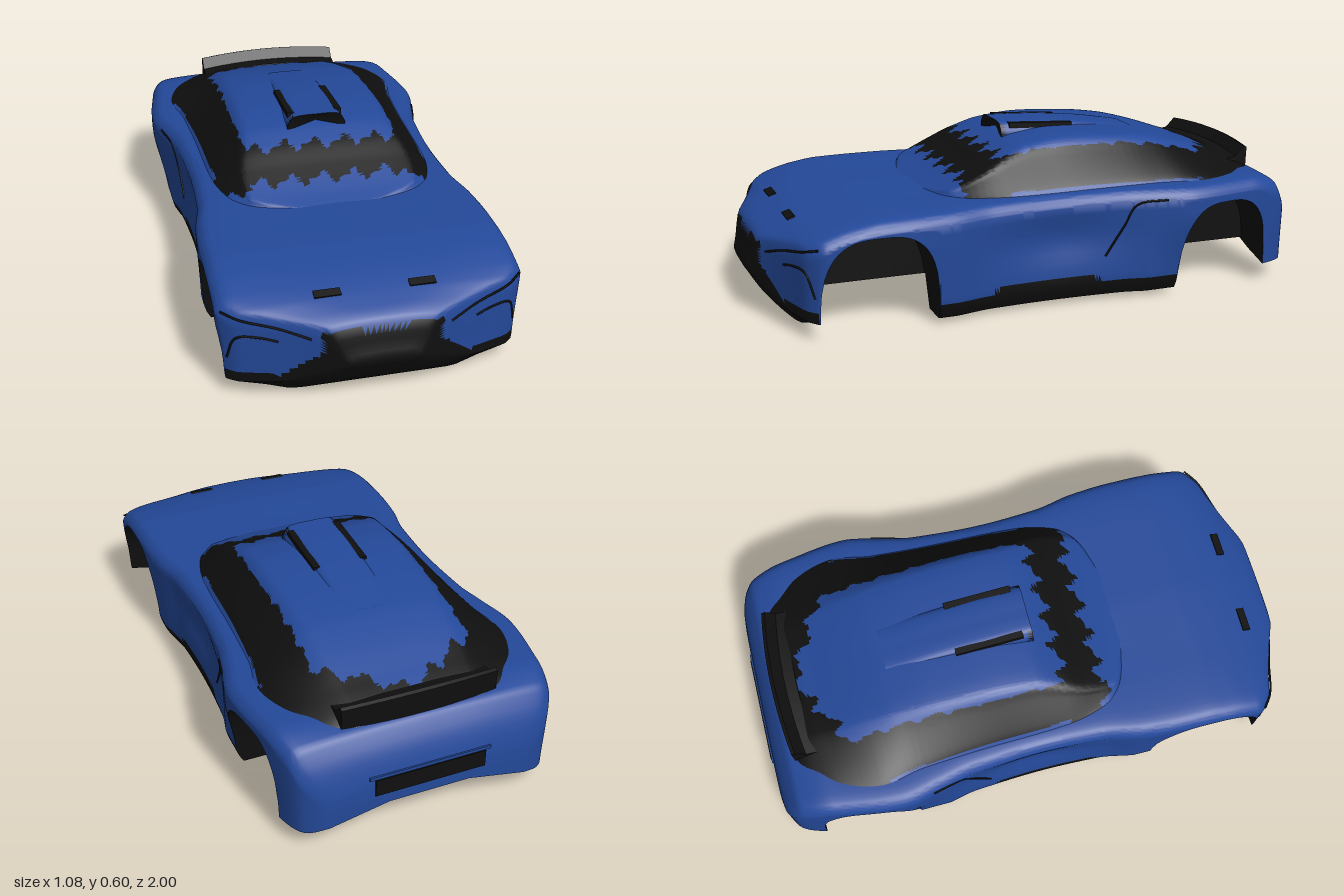
import * as THREE from 'three';
import { toCreasedNormals } from 'three/addons/utils/BufferGeometryUtils.js';

const blue = new THREE.MeshStandardMaterial({ color: 0x24499a, side: THREE.DoubleSide });
const dark = new THREE.MeshStandardMaterial({ color: 0x0f0f0f, side: THREE.DoubleSide });
const { smoothstep } = THREE.MathUtils;

// Monotone smooth curve through [t, value] pairs
function curve(p) {
  const n = p.length;
  const d = p.slice(1).map((q, i) => (q[1] - p[i][1]) / (q[0] - p[i][0]));
  const m = p.map((_, i) => {
    if (i === 0) return d[0];
    if (i === n - 1) return d[n - 2];
    return d[i - 1] * d[i] <= 0 ? 0 : (2 * d[i - 1] * d[i]) / (d[i - 1] + d[i]);
  });
  return (t) => {
    if (t <= p[0][0]) return p[0][1];
    if (t >= p[n - 1][0]) return p[n - 1][1];
    let i = 0;
    while (t > p[i + 1][0]) i++;
    const h = p[i + 1][0] - p[i][0], u = (t - p[i][0]) / h, u2 = u * u, u3 = u2 * u;
    return (2 * u3 - 3 * u2 + 1) * p[i][1] + (u3 - 2 * u2 + u) * h * m[i]
      + (3 * u2 - 2 * u3) * p[i + 1][1] + (u3 - u2) * h * m[i + 1];
  };
}

// Skin rows of points; isDark(centre, column) sends each triangle to one of two painted meshes
function loft(name, rows, isDark) {
  const cols = rows[0].length, pts = rows.flat(), idx = [], tag = [];
  for (let i = 0; i < rows.length - 1; i++) for (let j = 0; j < cols - 1; j++) {
    const a = i * cols + j, b = a + 1, e = a + cols, f = e + 1;
    for (const tri of [[a, b, f], [a, f, e]]) {
      const c = new THREE.Vector3();
      tri.forEach((k) => c.addScaledVector(pts[k], 1 / 3));
      idx.push(...tri);
      tag.push(isDark(c, Math.min(j, cols - 2 - j)));
    }
  }
  let g = new THREE.BufferGeometry().setFromPoints(pts);
  g.setIndex(idx);
  g = toCreasedNormals(g, 0.6);
  const group = new THREE.Group();
  group.name = name;
  for (const t of [false, true]) {
    const out = new THREE.BufferGeometry();
    for (const key of ['position', 'normal']) {
      const src = g.attributes[key].array, arr = [];
      tag.forEach((v, k) => { if (v === t) for (let q = 0; q < 9; q++) arr.push(src[k * 9 + q]); });
      out.setAttribute(key, new THREE.Float32BufferAttribute(arr, 3));
    }
    const mesh = new THREE.Mesh(out, t ? dark : blue);
    mesh.name = name + (t ? 'DarkTrim' : 'Paint');
    group.add(mesh);
  }
  return group;
}

// Mirror a half section (ending on the centre line) into a row at z
const mirrorRow = (half, z) => [...half, ...half.slice(0, -1).reverse().map(([x, y]) => [-x, y])]
  .map(([x, y]) => new THREE.Vector3(x, y, z));
const capRow = (row, y, z) => row.map(() => new THREE.Vector3(0, y, z));
const spline = (pts, n) => new THREE.SplineCurve(pts.map((p) => new THREE.Vector2(...p)))
  .getPoints(n).map((p) => [p.x, p.y]);

// Body rules along z
const width = curve([[-1, 0.34], [-0.985, 0.41], [-0.95, 0.46], [-0.88, 0.49], [-0.78, 0.512], [-0.55, 0.542],
  [-0.4, 0.512], [-0.28, 0.488], [0, 0.476], [0.2, 0.482], [0.36, 0.51], [0.5, 0.52], [0.8, 0.522],
  [0.86, 0.475], [0.89, 0.39], [0.935, 0.27], [0.97, 0.19], [0.985, 0.155], [1, 0.12]]);
const top = curve([[-1, 0.2], [-0.985, 0.275], [-0.97, 0.318], [-0.95, 0.354], [-0.915, 0.396], [-0.8, 0.414],
  [0.1, 0.407], [0.4, 0.402], [0.6, 0.4], [0.7, 0.388], [0.8, 0.367], [0.9, 0.334], [0.96, 0.305], [0.975, 0.283],
  [0.988, 0.225], [1, 0.185]]);
const drop = curve([[-1, 0.02], [-0.8, 0.002], [0.3, 0.002], [0.7, 0.005], [0.9, 0.016], [1, 0.006]]);
const floor = curve([[-1, 0.13], [0.8, 0.14], [0.835, 0], [0.87, 0.012], [0.945, 0.075], [1, 0.155]]);
const base = curve([[-1, 0.09], [-0.97, 0.07], [-0.86, 0.07], [-0.5, 0.02], [0.41, 0.02], [0.83, 0.06],
  [0.9, 0.07], [0.96, 0.12], [1, 0.165]]);
const arches = [[-0.865, -0.5], [0.41, 0.825]];

// Half width of the flank: bevelled under the sill, hollowed along the door
function flank(z, y) {
  const w = width(z), low = Math.min(w * 0.98, 0.498) - 0.025 * (1 - smoothstep(y, 0.01, 0.07));
  const hollow = Math.exp(-(((z + 0.05) / 0.24) ** 2) - (((y - 0.25) / 0.09) ** 2));
  return low + (w - low) * smoothstep(y, 0.05, 0.32) - 0.028 * hollow;
}

function bodySection(z) {
  const w = width(z), t = top(z), s = t - drop(z), f = floor(z);
  const arch = arches.find(([a, b]) => z > a && z < b);
  let b = base(z), inner = [[Math.min(0.37, w * 0.75), f], [Math.min(0.37, w * 0.75), b]];
  const round = Math.min(0.045, (s - b) * 0.4);
  if (arch) {
    const u = Math.abs((2 * z - arch[0] - arch[1]) / (arch[1] - arch[0]));
    b += (0.343 - b) * Math.cbrt(1 - u ** 3);
    inner = [[0.33, f], [0.33, Math.max(b, f)]];
  } else if (z > 0.8 || z < -0.8) {
    inner = [[Math.min(0.3, w * 0.62), f], [Math.min(0.38, w * 0.78), (f + b) / 2]];
  }
  const side = [], n = 12, ys = arch ? Math.max(s - round, b + 0.004) : s - round;
  for (let i = 0; i <= n; i++) {
    const y = b + (ys - b) * i / n;
    side.push([flank(z, y), y]);
  }
  const x = flank(z, ys);
  const deck = spline([[x, ys], [x * 0.975, s - (s - ys) * 0.5], [x * 0.91, s - 0.004], [x * 0.7, s + (t - s) * 0.4],
    [x * 0.4, t - 0.002], [0, t]], 20);
  return [[0, f], ...inner, ...side, ...deck.slice(1)];
}

function makeBody() {
  const zs = [0.835, -0.993, -0.985, 0.985, 0.995];
  for (let i = 1; i < 200; i++) zs.push(-0.995 + i * 0.00998);
  arches.flat().forEach((z) => zs.push(z - 0.0008, z + 0.0008));
  zs.push(-0.995, 1);
  zs.sort((a, b) => a - b);
  const rows = zs.map((z) => mirrorRow(bodySection(z), z));
  rows.unshift(capRow(rows[0], 0.16, -0.995));
  rows.push(capRow(rows[0], 0.172, 1));
  return loft('body', rows, (c, k) => {
    const x = Math.abs(c.x);
    if (k < 3 && c.z > -0.99) return true;
    if (c.z > 0.83) return c.y < 0.1 || (x < 0.2 + 1.2 * Math.max(0, 0.2 - c.y) && c.y < 0.278);
    if (c.z < -0.5) return false;
    return c.z < 0.42 && c.y < 0.075 + 0.035 * smoothstep(0.24 - Math.abs(c.z), 0, 0.1);
  });
}

// Cabin rules along z
const roof = curve([[-0.91, 0.392], [-0.88, 0.42], [-0.75, 0.47], [-0.6, 0.52], [-0.5, 0.545], [-0.35, 0.565],
  [-0.15, 0.575], [0, 0.56], [0.1, 0.525], [0.2, 0.474], [0.3, 0.427], [0.39, 0.392]]);
const cabinBase = curve([[-0.91, 0.3], [-0.85, 0.39], [-0.75, 0.45], [-0.62, 0.465], [-0.45, 0.43], [-0.2, 0.41],
  [0.1, 0.4], [0.25, 0.375], [0.33, 0.3], [0.39, 0.12]]);
const roofEdge = curve([[-0.91, 0.22], [-0.7, 0.25], [-0.4, 0.265], [0, 0.275], [0.2, 0.31], [0.3, 0.3], [0.39, 0.08]]);

function makeCabin() {
  const rows = [];
  for (let i = 0; i <= 130; i++) {
    const z = -0.91 + 0.01 * i, r = roof(z), b = cabinBase(z), e = roofEdge(z), y0 = 0.385, h = r - y0;
    rows.push(mirrorRow(spline([[b + 0.02, y0], [b - 0.1 * (b - e), y0 + h * 0.24], [e + 0.3 * (b - e), y0 + h * 0.7],
      [e, y0 + h * 0.92], [e * 0.85, y0 + h * 0.98], [e * 0.5, r], [0, r]], 44), z));
  }
  // Glass bands with a ragged painted edge
  const jag = (t) => 0.02 * (Math.sin(t * 55) + 0.6 * Math.sin(t * 111));
  return loft('cabin', rows, (c) => {
    const x = Math.abs(c.x), j = jag(c.x);
    const side = c.z < 0.27 && c.y > 0.418 && c.y < 0.54 && x > 0.285 + 0.3 * jag(c.z);
    const windshield = c.z > 0.11 + j && c.z < 0.25 + j;
    const rear = c.z < -0.84 + 0.55 * x + j;
    return side || windshield || rear;
  });
}

// Roof scoop with an open dark mouth
function makeScoop() {
  const h = curve([[-0.5, 0.548], [-0.3, 0.58], [-0.1, 0.597], [0.04, 0.602]]);
  const rows = [];
  for (let i = 0; i <= 20; i++) {
    const z = -0.5 + 0.027 * i, y = h(z);
    rows.push(mirrorRow(spline([[0.11, 0.545], [0.106, y - 0.032], [0.085, y - 0.006], [0.05, y], [0, y]], 14), z));
  }
  rows.push(capRow(rows[0], 0.57, 0.02));
  return loft('roofScoop', rows, (c) => c.z > 0.0275 && c.y < 0.594);
}

export function createModel() {
  const car = new THREE.Group();
  car.name = 'carBody';
  car.add(makeBody(), makeCabin(), makeScoop());

  const add = (name, geo, x = 0, y = 0, z = 0, rx = 0, mat = dark) => {
    const m = new THREE.Mesh(geo, mat);
    m.name = name;
    m.position.set(x, y, z);
    m.rotation.x = rx;
    car.add(m);
  };

  // Tail spoiler, swept forward toward its ends
  const profile = new THREE.Shape([[-0.79, 0.4], [-0.83, 0.445], [-0.87, 0.452], [-0.905, 0.488], [-0.918, 0.483],
    [-0.915, 0.385]].map((p) => new THREE.Vector2(...p)));
  const wing = new THREE.ExtrudeGeometry(profile, { depth: 0.56, steps: 14, bevelEnabled: false });
  wing.rotateY(-Math.PI / 2).translate(0.28, 0, 0);
  const pos = wing.attributes.position;
  for (let i = 0; i < pos.count; i++) {
    const q = pos.getX(i) ** 2;
    pos.setZ(i, pos.getZ(i) + 0.25 * q);
    pos.setY(i, pos.getY(i) - 0.15 * q);
  }
  wing.computeVertexNormals();
  add('spoiler', wing);

  // Rear plate panel and grille bar
  add('rearPanel', new THREE.BoxGeometry(0.4, 0.065, 0.03), 0, 0.205, -0.985);
  add('rearPanelLip', new THREE.BoxGeometry(0.44, 0.012, 0.03), 0, 0.243, -0.981, 0, blue);
  add('grilleBar', new THREE.BoxGeometry(0.26, 0.01, 0.04), 0, 0.17, 0.972);

  // Paired details; seam points are [z, y] laid on the flank
  const seams = {
    headlampSeam: [[0.91, 0.23], [0.89, 0.24], [0.865, 0.235], [0.84, 0.15]],
    browSeam: [[0.95, 0.25], [0.91, 0.28], [0.87, 0.305], [0.83, 0.32]],
    doorCrease: [[-0.22, 0.17], [-0.29, 0.28], [-0.33, 0.355], [-0.44, 0.37]],
  };
  for (const s of [-1, 1]) {
    add('hoodVent', new THREE.BoxGeometry(0.09, 0.014, 0.03), s * 0.16, top(0.85) - 0.004, 0.85, 0.3);
    add('scoopFin', new THREE.BoxGeometry(0.025, 0.02, 0.25), s * 0.09, 0.582, -0.12, -0.06);
    for (const [name, pts] of Object.entries(seams)) {
      const path = new THREE.CatmullRomCurve3(pts.map(([z, y]) => new THREE.Vector3(s * flank(z, y), y, z)));
      add(name, new THREE.TubeGeometry(path, 20, 0.004, 5));
    }
  }
  return car;
}
